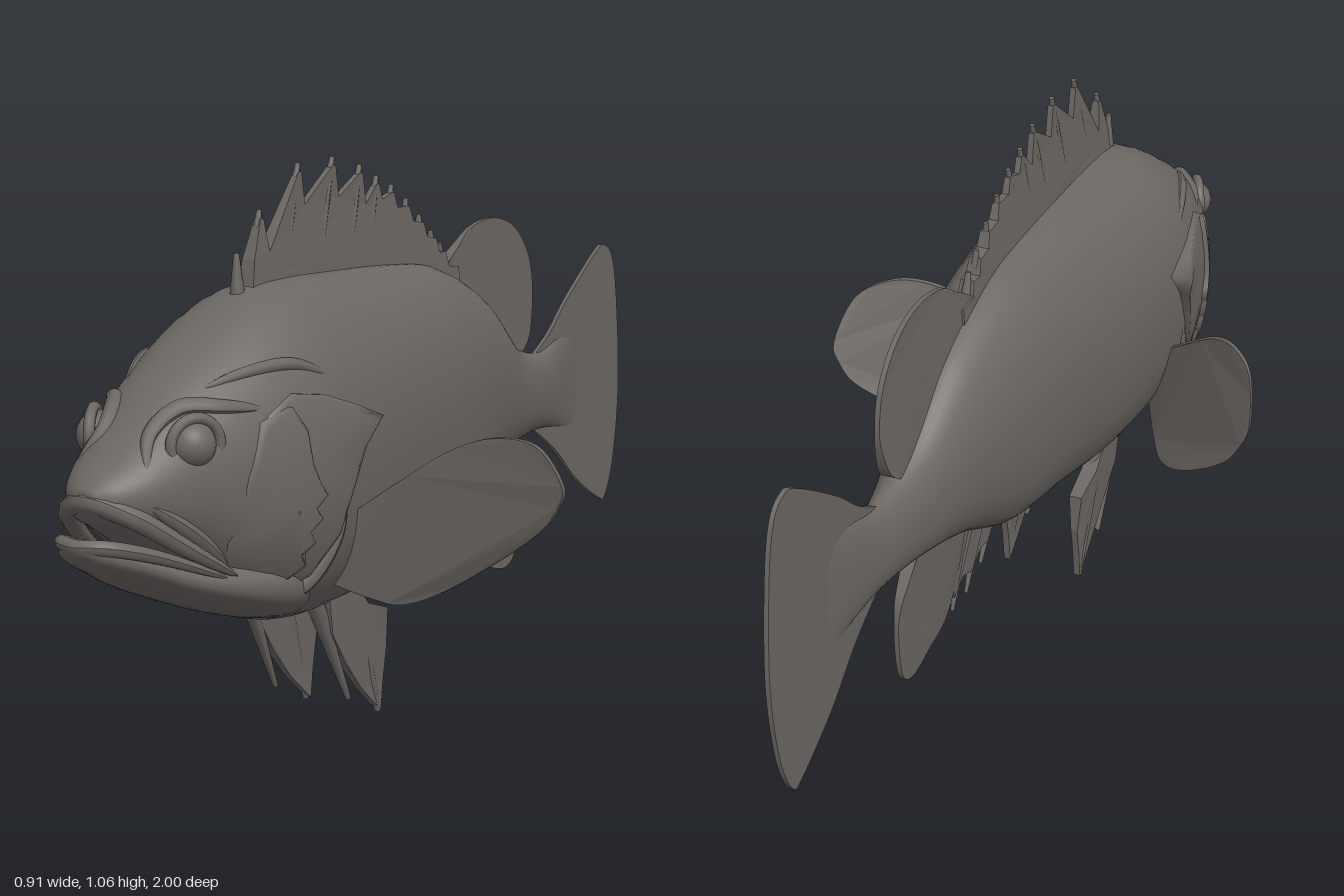
import * as THREE from 'three';

const skin = new THREE.MeshStandardMaterial({ color: 0x6c6763, side: THREE.DoubleSide });
skin.name = 'grey brown skin';

// Cross-section stations: [z, top, bottom, half width]
const BODY = [
  [0.965, 0.565, 0.535, 0.02], [0.945, 0.585, 0.51, 0.052], [0.9, 0.615, 0.485, 0.085], [0.84, 0.66, 0.45, 0.112],
  [0.78, 0.71, 0.41, 0.135], [0.7, 0.76, 0.35, 0.165], [0.6, 0.815, 0.285, 0.19], [0.5, 0.852, 0.25, 0.2],
  [0.4, 0.86, 0.24, 0.194], [0.25, 0.858, 0.243, 0.18], [0.03, 0.85, 0.278, 0.154], [-0.13, 0.83, 0.3, 0.132],
  [-0.31, 0.755, 0.378, 0.096], [-0.47, 0.635, 0.418, 0.058], [-0.6, 0.598, 0.43, 0.033], [-0.7, 0.62, 0.42, 0.017],
  [-0.79, 0.62, 0.4, 0.004],
];
const JAW = [
  [0.995, 0.485, 0.465, 0.02], [0.97, 0.487, 0.44, 0.05], [0.9, 0.465, 0.405, 0.082], [0.8, 0.43, 0.357, 0.118],
  [0.7, 0.42, 0.316, 0.148], [0.6, 0.42, 0.279, 0.165], [0.52, 0.4, 0.26, 0.15],
];

// Smooth interpolation of the stations at any z
function sample(st, z) {
  let i = 0;
  while (i < st.length - 2 && z < st[i + 1][0]) i++;
  const a = st[i], b = st[i + 1], p = st[Math.max(i - 1, 0)], n = st[Math.min(i + 2, st.length - 1)];
  const h = b[0] - a[0], t = THREE.MathUtils.clamp((z - a[0]) / h, 0, 1), t2 = t * t, t3 = t2 * t;
  return [1, 2, 3].map(k => {
    const m0 = (b[k] - p[k]) / (b[0] - p[0]) * h, m1 = (n[k] - a[k]) / (n[0] - a[0]) * h;
    return (2 * t3 - 3 * t2 + 1) * a[k] + (t3 - 2 * t2 + t) * m0 + (3 * t2 - 2 * t3) * b[k] + (t3 - t2) * m1;
  });
}

// Sections are elliptic above and fuller below
const power = v => v > 0 ? 2.1 : 2.35;

// Body half width at a given z and height
function halfWidth(z, y) {
  const [top, bot, w] = sample(BODY, z);
  const u = THREE.MathUtils.clamp((y - (top + bot) / 2) / ((top - bot) / 2), -0.97, 0.97);
  return w * Math.pow(1 - Math.pow(Math.abs(u), power(u)), 1 / power(u));
}

function buildGeometry(pos, idx) {
  const g = new THREE.BufferGeometry();
  g.setAttribute('position', new THREE.Float32BufferAttribute(pos, 3));
  g.setIndex(idx);
  g.computeVertexNormals();
  return g;
}

// Closed loft of rounded sections
function loft(st, rings, n = 48) {
  const pos = [], idx = [], z0 = st[0][0], z1 = st[st.length - 1][0];
  for (let r = 0; r <= rings; r++) {
    const z = z0 + (z1 - z0) * Math.pow(r / rings, 1.3), [top, bot, w] = sample(st, z);
    for (let i = 0; i < n; i++) {
      const a = i / n * Math.PI * 2, e = 2 / power(Math.sin(a));
      const pw = v => Math.sign(v) * Math.pow(Math.abs(v), e);
      pos.push(w * pw(Math.cos(a)), (top + bot) / 2 + (top - bot) / 2 * pw(Math.sin(a)), z);
      const j = (i + 1) % n, A = r * n + i, B = r * n + j;
      if (r < rings) idx.push(A, A + n, B, B, A + n, B + n);
    }
  }
  const c = (rings + 1) * n;
  pos.push(0, (st[0][1] + st[0][2]) / 2, z0, 0, (st[st.length - 1][1] + st[st.length - 1][2]) / 2, z1);
  for (let i = 0; i < n; i++) {
    const j = (i + 1) % n;
    idx.push(c, i, j, c + 1, rings * n + j, rings * n + i);
  }
  return buildGeometry(pos, idx);
}

// Raised plate following the flank; outline in (z, y), lift is its height above the skin
function flankPlate(outline, side, lift) {
  const n = outline.length, pos = [], idx = [];
  const cz = outline.reduce((s, p) => s + p[0], 0) / n, cy = outline.reduce((s, p) => s + p[1], 0) / n;
  const rings = [0.02, 0.25, 0.5, 0.75, 0.92, 1, 1];
  rings.forEach((s, r) => outline.forEach(([oz, oy], i) => {
    const z = cz + (oz - cz) * s, y = cy + (oy - cy) * s;
    const off = r === rings.length - 1 ? -0.012 : lift(z, y);
    pos.push(side * (halfWidth(z, y) + off), y, z);
    if (r < rings.length - 1) {
      const j = (i + 1) % n, A = r * n + i, B = r * n + j;
      if (side > 0) idx.push(A, A + n, B, B, A + n, B + n);
      else idx.push(A, B, A + n, B, B + n, A + n);
    }
  }));
  return buildGeometry(pos, idx);
}

// Vertical fin, outline in (z, y), thickening by flare towards the body
function fin(points, thick, flare, smooth = true) {
  const v = points.map(p => new THREE.Vector2(...p));
  const s = new THREE.Shape().moveTo(v[0].x, v[0].y);
  if (smooth) s.splineThru(v.slice(1)); else v.slice(1).forEach(p => s.lineTo(p.x, p.y));
  const g = new THREE.ExtrudeGeometry(s, { depth: thick, bevelEnabled: false, curveSegments: 40 });
  g.translate(0, 0, -thick / 2).rotateY(-Math.PI / 2);
  const p = g.attributes.position;
  for (let i = 0; i < p.count; i++) {
    const [top, bot] = sample(BODY, p.getZ(i)), y = p.getY(i), d = Math.max(0, y - top, bot - y);
    p.setX(i, p.getX(i) * (1 + flare * Math.max(0, 1 - d / 0.12)));
  }
  g.computeVertexNormals();
  return g;
}

// Tapered spine between two points
function spine(a, b, r) {
  const A = new THREE.Vector3(...a), B = new THREE.Vector3(...b), d = B.clone().sub(A);
  const g = new THREE.CylinderGeometry(r * 0.3, r, d.length(), 8);
  g.applyQuaternion(new THREE.Quaternion().setFromUnitVectors(new THREE.Vector3(0, 1, 0), d.normalize()));
  return g.translate(...A.add(B).multiplyScalar(0.5).toArray());
}

// Rounded fold that thins out at both ends
function ridge(points, r) {
  const c = new THREE.CatmullRomCurve3(points.map(p => new THREE.Vector3(...p)));
  const g = new THREE.TubeGeometry(c, 40, r, 10), p = g.attributes.position, v = new THREE.Vector3();
  for (let i = 0; i < p.count; i++) {
    const t = Math.floor(i / 11) / 40, o = c.getPointAt(t);
    v.fromBufferAttribute(p, i).sub(o).multiplyScalar(Math.sqrt(Math.max(0, Math.sin(Math.PI * t)))).add(o);
    p.setXYZ(i, v.x, v.y, v.z);
  }
  g.computeVertexNormals();
  return g;
}
// Fold lying in the skin, points in (z, y)
const skinFold = (points, r, side) => ridge(points.map(([z, y]) => [side * (halfWidth(z, y) - r * 0.3), y, z]), r);
const mirrored = pts => [...pts, ...pts.slice(0, -1).reverse().map(([x, y, z]) => [-x, y, z])];

export function createModel() {
  const fish = new THREE.Group();
  fish.name = 'fish';
  const add = (name, geo) => {
    const m = new THREE.Mesh(geo, skin);
    m.name = name;
    fish.add(m);
    return m;
  };

  add('body', loft(BODY, 100));
  add('lowerJaw', loft(JAW, 30));
  add('upperLip', ridge(mirrored([[0.135, 0.39, 0.72], [0.112, 0.455, 0.83], [0.066, 0.52, 0.92], [0, 0.546, 0.953]]), 0.019));
  add('lowerLip', ridge(mirrored([[0.13, 0.39, 0.74], [0.085, 0.452, 0.89], [0.045, 0.475, 0.965], [0, 0.475, 0.985]]), 0.014));

  // Tail, soft dorsal and anal fins
  add('tailFin', fin([[-0.58, 0.59], [-0.66, 0.635], [-0.74, 0.7], [-0.875, 0.79], [-0.92, 0.803], [-0.96, 0.77], [-0.985, 0.665],
    [-1, 0.475], [-0.98, 0.315], [-0.94, 0.225], [-0.9, 0.228], [-0.79, 0.29], [-0.69, 0.37], [-0.58, 0.435]], 0.009, 0));
  add('softDorsalFin', fin([[-0.15, 0.78], [-0.2, 0.83], [-0.25, 0.86], [-0.31, 0.893], [-0.4, 0.905], [-0.49, 0.88], [-0.555, 0.815],
    [-0.575, 0.73], [-0.555, 0.65], [-0.52, 0.615], [-0.46, 0.59]], 0.01, 2));
  add('analFin', fin([[-0.24, 0.37], [-0.26, 0.26], [-0.31, 0.19], [-0.39, 0.165], [-0.46, 0.15], [-0.505, 0.175], [-0.52, 0.26],
    [-0.513, 0.33], [-0.48, 0.38], [-0.43, 0.44]], 0.01, 2));
  add('analMembrane', fin([[-0.06, 0.32], [-0.12, 0.25], [-0.15, 0.255], [-0.2, 0.225], [-0.23, 0.235], [-0.275, 0.21], [-0.3, 0.4]],
    0.01, 1, false));
  [[-0.14, 0.21], [-0.21, 0.182], [-0.275, 0.18]].forEach(([z, y]) =>
    add('analSpine', spine([0, 0.33, z + 0.07], [0, y, z], 0.013)));

  // Spiny dorsal fin: notched web with a spine at every peak
  const tips = [[0.45, 0.985], [0.325, 1.06], [0.21, 1.065], [0.115, 1.045], [0.055, 1.02], [0, 1], [-0.055, 0.97],
    [-0.105, 0.935], [-0.15, 0.9], [-0.185, 0.87]];
  const web = [[0.5, 0.82], [0.485, 0.9]];
  tips.forEach(([z, y], i) => web.push([z + 0.006, y - 0.015], [z - 0.004, y - 0.015], [z - 0.014, y - (i < 4 ? 0.075 : 0.045)]));
  add('spinyDorsalFin', fin([...web, [-0.24, 0.82], [-0.24, 0.75], [0.1, 0.8]], 0.012, 2, false));
  [[0.522, 0.915], ...tips].forEach(([z, y]) => {
    const base = z + (y - 0.92) * 0.5;
    add('dorsalSpine', spine([0, sample(BODY, base)[0] - 0.03, base], [0, y, z], 0.017));
  });

  for (const side of [1, -1]) {
    const tag = side > 0 ? 'left' : 'right';

    // Pectoral fin, a curved sheet slanting outward and back
    const outer = [[0.18, 0.45], [0.25, 0.51], [0.32, 0.562], [0.378, 0.579], [0.43, 0.558], [0.453, 0.48], [0.44, 0.435], [0.4, 0.38],
      [0.29, 0.295], [0.22, 0.262], [0.18, 0.28], [0.13, 0.33]].map(p => new THREE.Vector2(side * p[0], p[1]));
    const pec = new THREE.ExtrudeGeometry(new THREE.Shape().moveTo(outer[0].x, outer[0].y).splineThru(outer.slice(1)),
      { depth: 0.012, bevelEnabled: false, curveSegments: 40 });
    const p = pec.attributes.position;
    for (let i = 0; i < p.count; i++) {
      const dx = Math.abs(p.getX(i)) - 0.2;
      p.setZ(i, p.getZ(i) + 0.41 - 1.35 * dx + dx * dx + 0.45 * (p.getY(i) - 0.47));
    }
    pec.computeVertexNormals();
    add(tag + 'PectoralFin', pec);

    // Pelvic fin with its separate leading spine
    add(tag + 'PelvicFin', fin([[0.38, 0.3], [0.36, 0.2], [0.31, 0.135], [0.25, 0.07], [0.18, 0.01], [0.172, 0.07], [0.16, 0.13],
      [0.165, 0.21], [0.24, 0.235], [0.3, 0.3]], 0.014, 1.5, false)).position.x = side * 0.08;
    add(tag + 'PelvicSpine', spine([side * 0.075, 0.28, 0.4], [side * 0.082, 0.06, 0.29], 0.018));
    add(tag + 'PelvicRay', spine([side * 0.078, 0.28, 0.28], [side * 0.082, 0.01, 0.185], 0.02));

    // Eye in a raised socket
    const eye = add(tag + 'Eye', new THREE.SphereGeometry(0.042, 24, 16));
    eye.position.set(side * 0.095, 0.625, 0.795);
    const socket = add(tag + 'EyeSocket', new THREE.TorusGeometry(0.046, 0.01, 10, 32));
    socket.position.set(side * 0.106, 0.625, 0.798);
    socket.rotation.y = side * 1.1;

    // Gill cover with a flared rear spike, and a toothed cheek plate over it
    add(tag + 'GillCover', flankPlate([[0.405, 0.63], [0.46, 0.655], [0.53, 0.68], [0.6, 0.69], [0.66, 0.66], [0.69, 0.58], [0.7, 0.48],
      [0.7, 0.38], [0.66, 0.335], [0.6, 0.33], [0.55, 0.36], [0.5, 0.43], [0.47, 0.51], [0.44, 0.58]], side,
      (z, y) => 0.003 + Math.max(0, 0.68 - z) * 0.05 + 0.026 * Math.exp(-(((z - 0.405) / 0.06) ** 2) - ((y - 0.63) / 0.05) ** 2)));
    const cheek = [[0.62, 0.67], [0.68, 0.65], [0.72, 0.56], [0.74, 0.45], [0.72, 0.385], [0.66, 0.36]];
    for (let i = 0; i < 9; i++) cheek.push([0.61 - i * 0.004 - (i % 2) * 0.02, 0.365 + i * 0.021]);
    cheek.push([0.595, 0.57], [0.6, 0.63]);
    add(tag + 'CheekPlate', flankPlate(cheek, side, z => 0.003 + Math.max(0, 0.73 - z) * 0.11));

    // Folds of the head
    add(tag + 'BrowRidge', skinFold([[0.89, 0.59], [0.845, 0.645], [0.79, 0.682], [0.73, 0.68], [0.66, 0.67]], 0.016, side));
    add(tag + 'NapeFold', skinFold([[0.74, 0.71], [0.66, 0.73], [0.57, 0.735], [0.47, 0.7]], 0.012, side));
    add(tag + 'GillFold', skinFold([[0.47, 0.5], [0.49, 0.42], [0.54, 0.34], [0.61, 0.31], [0.67, 0.34]], 0.018, side));
    add(tag + 'JawFold', skinFold([[0.9, 0.54], [0.84, 0.5], [0.77, 0.45], [0.71, 0.4]], 0.016, side));
  }
  return fish;
}
